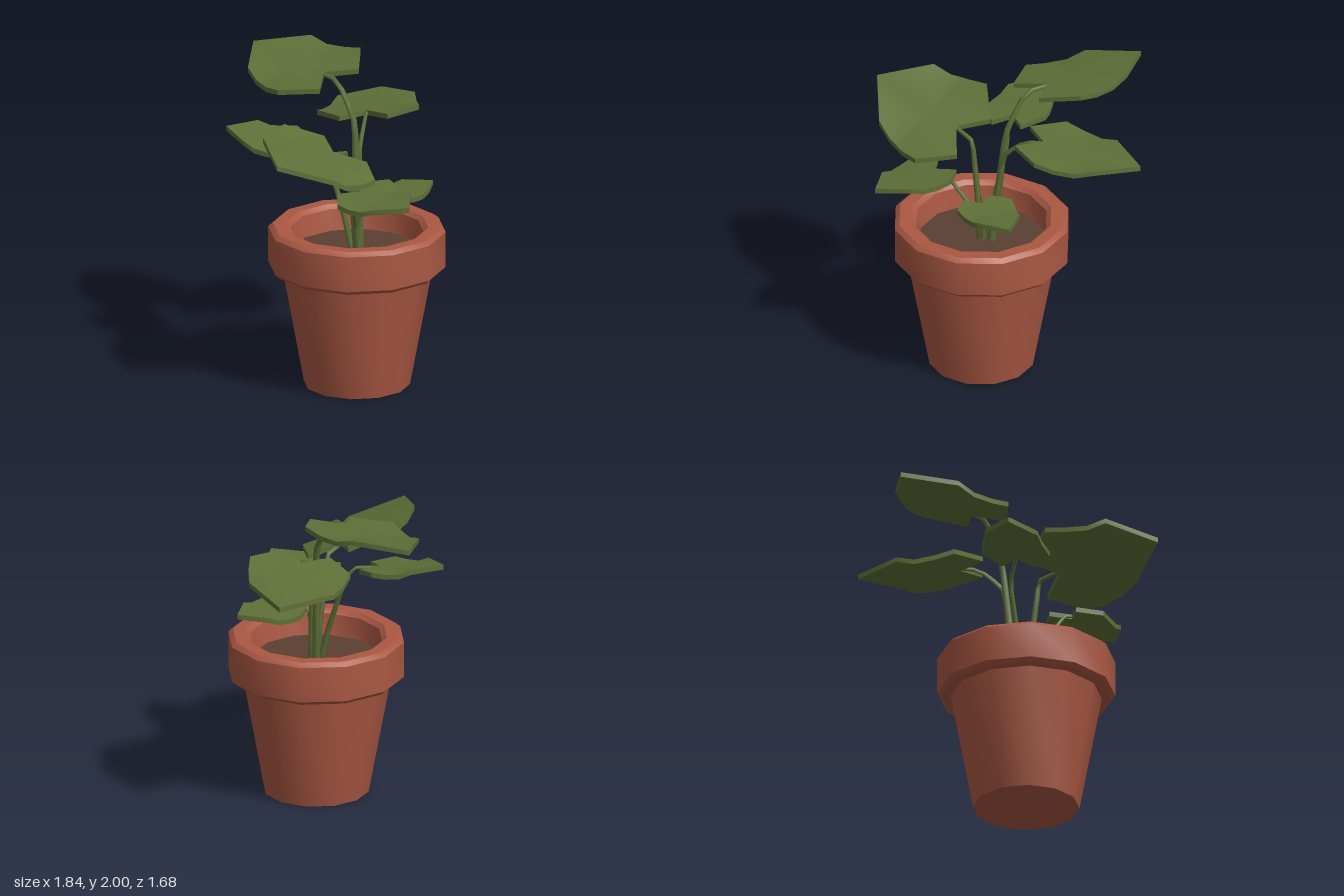
import * as THREE from 'three';
import { toCreasedNormals } from 'three/addons/utils/BufferGeometryUtils.js';

const POT_X = -0.013, POT_Z = 0.21, SOIL_Y = 0.88, SIDES = 12;

function material(name, color) {
  const m = new THREE.MeshStandardMaterial({ color });
  m.name = name;
  return m;
}

// Half of the heart-shaped outline: along the midrib, across, height (all per unit of leaf length)
const HALF = [
  [0, 0, 0], [-0.215, 0.235, 0], [0.07, 0.5, 0.01], [0.26, 0.475, -0.03],
  [0.46, 0.425, -0.04], [0.63, 0.38, 0.015], [1, 0, 0],
];
const OUTLINE = [...HALF, ...HALF.slice(1, -1).reverse().map(([u, v, h]) => [u, -v, h])];

// Thin slab: base and tip are on its top face, roll is the sideways slope
function leafGeometry(base, tip, roll, thickness) {
  const dx = tip[0] - base[0], dy = tip[1] - base[1], dz = tip[2] - base[2];
  const length = Math.hypot(dx, dz);
  const place = ([u, v, h], drop) => [
    base[0] + u * dx - v * dz,
    base[1] + u * dy + (v * roll + h) * length - drop,
    base[2] + u * dz + v * dx,
  ];
  const n = OUTLINE.length, pos = [], index = [];
  for (const drop of [0, thickness]) {
    for (const p of OUTLINE) pos.push(...place(p, drop));
    pos.push(...place([0.33, 0, -0.025], drop));
  }
  // Top fan, bottom fan and rim
  const m = n + 1;
  for (let i = 0; i < n; i++) {
    const j = (i + 1) % n;
    index.push(n, i, j, m + n, m + j, m + i);
    index.push(i, m + j, j, i, m + i, m + j);
  }
  const g = new THREE.BufferGeometry();
  g.setAttribute('position', new THREE.Float32BufferAttribute(pos, 3));
  g.setIndex(index);
  return toCreasedNormals(g, 0.6);
}

// Five-sided tube that narrows towards the leaf
function stemGeometry(points, radius) {
  const path = new THREE.CatmullRomCurve3(points.map((p) => new THREE.Vector3(...p)), false, 'catmullrom', 0.15);
  const steps = 12, sides = 5;
  const g = new THREE.TubeGeometry(path, steps, radius, sides);
  const pos = g.attributes.position, v = new THREE.Vector3();
  for (let i = 0; i < pos.count; i++) {
    const t = Math.floor(i / (sides + 1)) / steps;
    const centre = path.getPointAt(t);
    v.fromBufferAttribute(pos, i).sub(centre).multiplyScalar(1 - 0.5 * t).add(centre);
    pos.setXYZ(i, v.x, v.y, v.z);
  }
  return g;
}

// Each leaf with the path of its stem, which ends inside the leaf base
const PLANTS = [
  { name: 'top', base: [0.17, 1.925, -0.18], tip: [0.33, 1.955, -0.845], roll: 0.19, r: 0.03,
    stem: [[0.04, SOIL_Y, 0.17], [0.06, 1.1, 0.15], [0.1, 1.6, 0.115], [0.11, 1.7, 0.09], [0.13, 1.9, -0.04], [0.17, 1.91, -0.18]] },
  { name: 'left', base: [0.35, 1.665, 0.02], tip: [0.92, 1.605, -0.28], roll: 0.1, r: 0.024,
    stem: [[0.05, SOIL_Y, 0.19], [0.07, 1.1, 0.18], [0.115, 1.5, 0.14], [0.25, 1.64, 0.08], [0.35, 1.65, 0.02]] },
  { name: 'right', base: [-0.25, 1.59, 0.2], tip: [-0.92, 1.69, 0.25], roll: 0.37, r: 0.027,
    stem: [[-0.01, SOIL_Y, 0.21], [-0.04, 1.1, 0.21], [-0.09, 1.4, 0.2], [-0.11, 1.54, 0.2], [-0.25, 1.575, 0.2]] },
  { name: 'back', base: [-0.15, 1.555, -0.19], tip: [-0.3, 1.615, -0.595], roll: 0.1, r: 0.022,
    stem: [[0, SOIL_Y, 0.16], [-0.01, 1.1, 0.105], [-0.02, 1.45, -0.02], [-0.06, 1.53, -0.06], [-0.15, 1.54, -0.19]] },
  { name: 'frontRight', base: [-0.24, 1.365, 0.4], tip: [-0.32, 1.365, 0.84], roll: -0.14, r: 0.02,
    stem: [[-0.02, SOIL_Y, 0.22], [-0.05, 1.06, 0.23], [-0.17, 1.24, 0.3], [-0.21, 1.335, 0.35], [-0.24, 1.35, 0.4]] },
  { name: 'frontLeft', base: [0.12, 1.24, 0.33], tip: [0.48, 1.25, 0.44], roll: 0.05, r: 0.018,
    stem: [[0, SOIL_Y, 0.21], [0.01, 1.08, 0.22], [0.03, 1.21, 0.25], [0.12, 1.225, 0.33]] },
];

export function createModel() {
  const terracotta = material('terracotta', 0xaa5843);
  const earth = material('earth', 0x5a3f32);
  const green = material('leaf green', 0x5f7038);

  const model = new THREE.Group();
  model.name = 'pottedPlant';
  const add = (parent, name, geometry, mat) => {
    const mesh = new THREE.Mesh(geometry, mat);
    mesh.name = name;
    parent.add(mesh);
    return mesh;
  };

  // Pot: tapered wall, chamfered rim and inner wall down to the soil
  const profile = [
    [0, 0], [0.335, 0], [0.475, 0.76], [0.535, 0.76], [0.56, 0.785], [0.56, 1.015],
    [0.53, 1.04], [0.45, 1.04], [0.42, 1.015], [0.395, SOIL_Y - 0.02],
  ].map(([x, y]) => new THREE.Vector2(x, y));
  const pot = add(model, 'pot', toCreasedNormals(new THREE.LatheGeometry(profile, SIDES), 0.6), terracotta);
  pot.position.set(POT_X, 0, POT_Z);

  const soil = add(model, 'soil', new THREE.CircleGeometry(0.4, SIDES).rotateX(-Math.PI / 2), earth);
  soil.position.set(POT_X, SOIL_Y, POT_Z);

  // Leaves and stems
  for (const { name, base, tip, roll, r, stem } of PLANTS) {
    const sprig = new THREE.Group();
    sprig.name = name + 'Sprig';
    model.add(sprig);
    add(sprig, 'leaf', leafGeometry(base, tip, roll, 0.032), green);
    add(sprig, 'stem', stemGeometry(stem, r), green);
  }
  return model;
}
